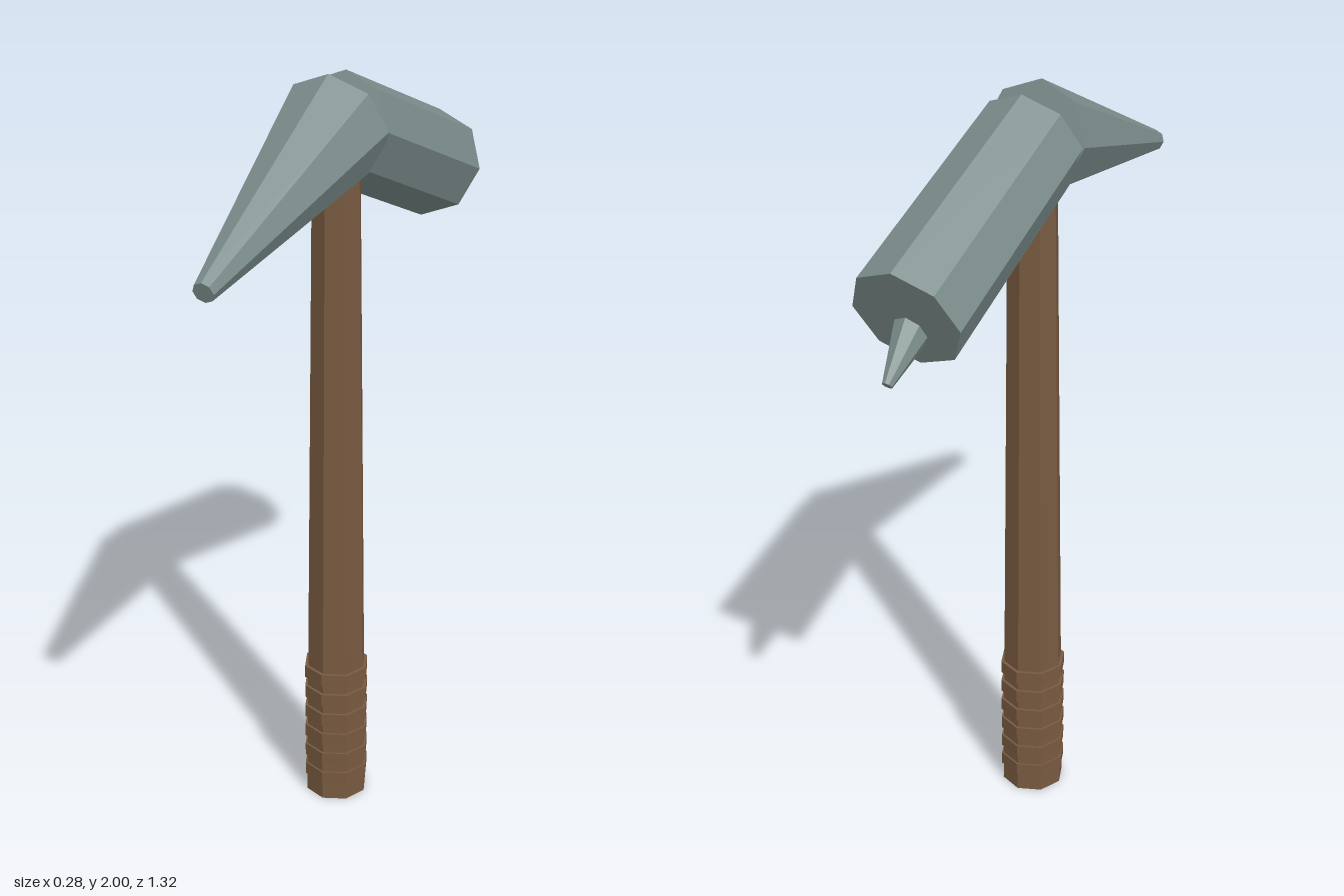
import * as THREE from 'three';

const steel = new THREE.MeshStandardMaterial({ color: 0x7c8e8c, flatShading: true });
steel.name = 'steel';
const wood = new THREE.MeshStandardMaterial({ color: 0x785a40, flatShading: true });
wood.name = 'wood';

// Eight-sided tapered bar between two [y, z] points in the x = 0 plane
function bar(name, from, to, r0, r1, material) {
  const dy = to[0] - from[0];
  const dz = to[1] - from[1];
  const geometry = new THREE.CylinderGeometry(r1, r0, Math.hypot(dy, dz), 8);
  geometry.rotateX(Math.atan2(dz, dy));
  geometry.translate(0, (from[0] + to[0]) / 2, (from[1] + to[1]) / 2);
  const mesh = new THREE.Mesh(geometry, material);
  mesh.name = name;
  return mesh;
}

export function createModel() {
  const model = new THREE.Group();
  model.name = 'warHammer';

  // Tapered handle, its top hidden inside the head
  model.add(bar('handle', [0, 0], [1.8, 0], 0.084, 0.062, wood));

  // Raised grip rings
  const grip = new THREE.Group();
  grip.name = 'grip';
  for (let i = 0; i < 6; i++) {
    const y = 0.05 + i * 0.061;
    grip.add(bar('gripRing', [y, 0], [y + 0.035, 0], 0.088, 0.088, wood));
  }
  model.add(grip);

  // Head: long pick in front, heavy barrel behind, small spike on its face
  const head = new THREE.Group();
  head.name = 'head';
  head.add(
    bar('pick', [1.867, 0], [1.655, 0.652], 0.14, 0.027, steel),
    bar('barrel', [1.865, 0], [1.625, -0.565], 0.135, 0.142, steel),
    bar('faceSpike', [1.612, -0.515], [1.497, -0.648], 0.054, 0.013, steel)
  );
  model.add(head);

  return model;
}
